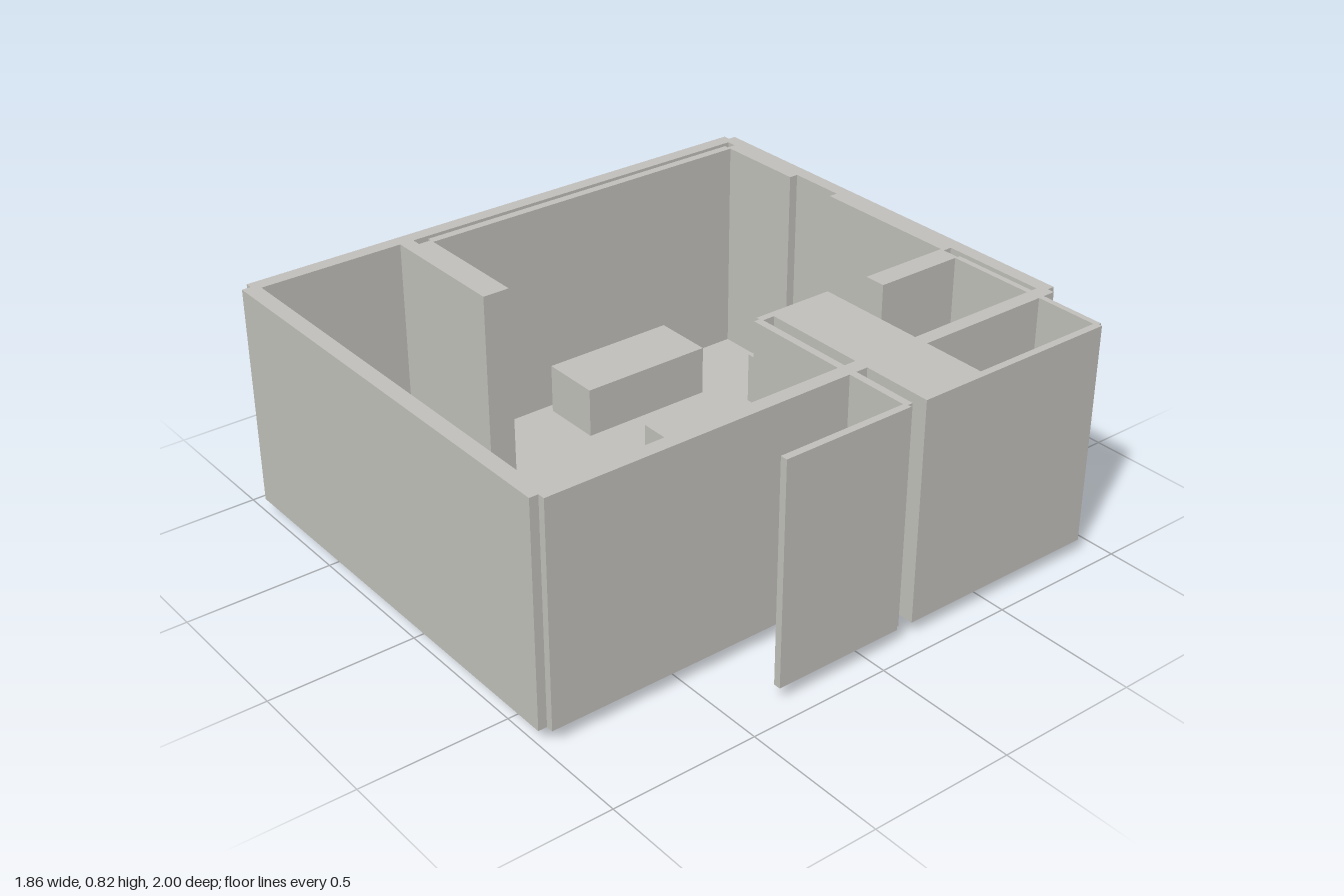
import * as THREE from 'three';

const BASE = 0.05; // top of the floor slab
const TOP = 0.82;  // top of the walls

export function createModel() {
  const model = new THREE.Group();
  model.name = 'floorPlanModel';
  const plaster = new THREE.MeshStandardMaterial({ color: 0xc0bfba });
  plaster.name = 'warm grey plaster';

  // Box given by its extents on each axis
  function block(parent, name, x0, x1, z0, z1, y0 = BASE, y1 = TOP) {
    const geometry = new THREE.BoxGeometry(x1 - x0, y1 - y0, z1 - z0);
    const mesh = new THREE.Mesh(geometry, plaster);
    mesh.position.set((x0 + x1) / 2, (y0 + y1) / 2, (z0 + z1) / 2);
    mesh.name = name;
    parent.add(mesh);
  }
  function section(name) {
    const group = new THREE.Group();
    group.name = name;
    model.add(group);
    return group;
  }

  block(model, 'floorSlab', -0.903, 0.205, -0.97, 0.413, 0, BASE);

  // Outer walls, with small notches at the corners
  const outer = section('outerWalls');
  block(outer, 'rightWall', -0.93, -0.88, -0.973, 0.97);
  block(outer, 'leftWall', 0.627, 0.678, -0.973, 0.97);
  block(outer, 'backWall', -0.905, 0.653, -1, -0.95);
  block(outer, 'frontWall', -0.905, 0.653, 0.945, 1);

  // Inner linings, with a narrow gap on the right and a niche at the back
  const lining = section('wallLinings');
  block(lining, 'sideLining', -0.86, -0.83, -0.918, 0.342);
  block(lining, 'backLiningRight', -0.845, -0.505, -0.95, -0.918);
  block(lining, 'backLiningLeft', -0.3, 0.25, -0.95, -0.918);

  // Short partition across the room
  const partition = section('partition');
  block(partition, 'partitionFront', -0.88, -0.397, 0.387, 0.437);
  block(partition, 'partitionBack', -0.845, -0.397, 0.342, 0.387);

  // Small rooms, core block and side panels on the left
  const annex = section('annex');
  block(annex, 'pier', 0.237, 0.313, -0.918, -0.59);
  block(annex, 'backThinWall', 0.313, 0.912, -0.928, -0.907);
  block(annex, 'sideThinWall', 0.9, 0.925, -0.918, -0.425);
  block(annex, 'coreBlock', 0.237, 0.925, -0.425, -0.183);
  block(annex, 'coreLink', 0.237, 0.262, -0.183, -0.135);
  block(annex, 'frontThinWall', 0.25, 0.912, -0.14, -0.114);
  block(annex, 'sidePanel', 0.9, 0.925, -0.122, 0.342);

  // Furniture on the slab
  const furniture = section('furniture');
  block(furniture, 'longCabinet', -0.795, -0.57, -0.585, -0.085, BASE, 0.23);
  block(furniture, 'backCabinet', -0.425, -0.218, -0.89, -0.675, BASE, 0.235);
  block(furniture, 'lowTable', -0.39, -0.225, -0.49, -0.185, BASE, 0.14);
  block(furniture, 'bench', 0.035, 0.155, -0.585, -0.085, BASE, 0.14);

  return model;
}
